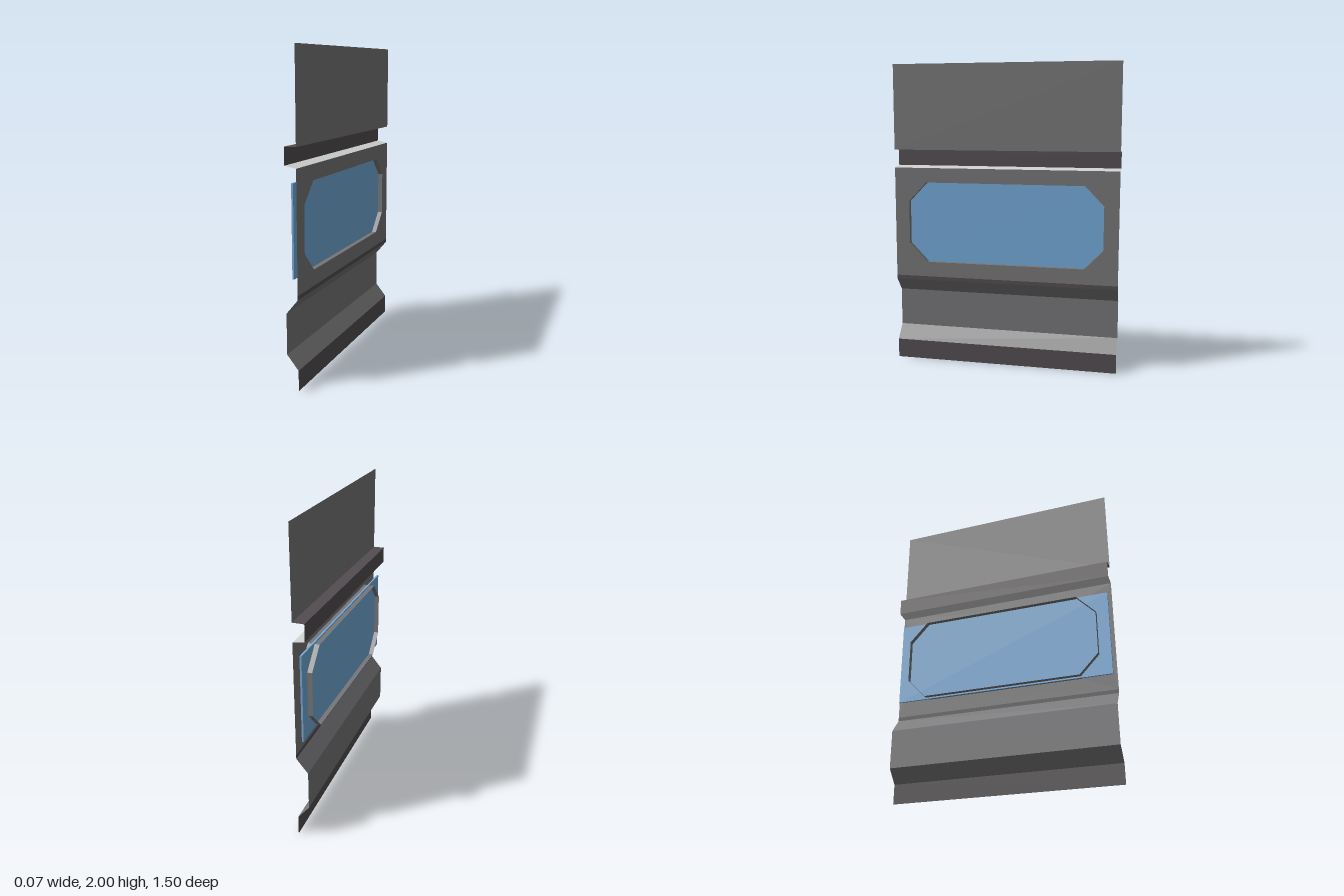
import * as THREE from 'three';

const D = 0.037; // half depth of the folds
const Z = 0.75;  // half length of the panel

function material(name, color) {
  const m = new THREE.MeshStandardMaterial({ color, side: THREE.DoubleSide });
  m.name = name;
  return m;
}

// flat four-cornered sheet, corners counter-clockwise
function quad(a, b, c, d) {
  const g = new THREE.BufferGeometry();
  g.setAttribute('position', new THREE.Float32BufferAttribute([...a, ...b, ...c, ...a, ...c, ...d], 3));
  g.computeVertexNormals();
  return g;
}

export function createModel() {
  const model = new THREE.Group();
  model.name = 'wallPanel';
  const grey = material('panel grey', 0x777779);
  const dark = material('trim dark', 0x534d51);
  const light = material('shelf light grey', 0xd0d2d0);
  const blue = material('glass blue', 0x75abda);

  const add = (name, geometry, mat, parent = model) => {
    const mesh = new THREE.Mesh(geometry, mat);
    mesh.name = name;
    parent.add(mesh);
  };

  // folded sheet, each strip running the full length: name, bottom (x, y), top (x, y), colour
  const strips = [
    ['bottomTrim', D, 0, D, 0.127, dark],
    ['lowerSlope', D, 0.127, -D, 0.217, grey],
    ['lowerPanel', -D, 0.217, -D, 0.468, grey],
    ['sillSlope', -D, 0.468, D, 0.558, grey],
    ['sillTrim', D, 0.558, D, 0.583, dark],
    ['grooveShelf', D, 1.32, -D, 1.333, light],
    ['grooveBack', -D, 1.333, -D, 1.44, dark],
    ['grooveTop', -D, 1.44, D, 1.44, dark],
    ['upperPanel', D, 1.44, D, 2, grey],
  ];
  for (const [name, x0, y0, x1, y1, mat] of strips) {
    add(name, quad([x0, y0, Z], [x0, y0, -Z], [x1, y1, -Z], [x1, y1, Z]), mat);
  }

  // eight-sided window outline as (z, y)
  const outline = [
    [-0.53, 0.683], [0.53, 0.683], [0.653, 0.81], [0.653, 1.096],
    [0.53, 1.223], [-0.53, 1.223], [-0.653, 1.096], [-0.653, 0.81],
  ];

  // window wall with the opening cut out
  const wall = new THREE.Shape([[-Z, 0.583], [Z, 0.583], [Z, 1.32], [-Z, 1.32]].map(p => new THREE.Vector2(...p)));
  wall.holes.push(new THREE.Path(outline.map(p => new THREE.Vector2(...p))));
  add('windowWall', new THREE.ShapeGeometry(wall).rotateY(Math.PI / 2).translate(D, 0, 0), grey);

  // window reveal around the opening
  const reveal = new THREE.Group();
  reveal.name = 'windowReveal';
  model.add(reveal);
  outline.forEach(([z0, y0], i) => {
    const [z1, y1] = outline[(i + 1) % outline.length];
    add('revealSide', quad([-D, y0, z0], [D, y0, z0], [D, y1, z1], [-D, y1, z1]), grey, reveal);
  });

  // glass pane in the middle of the reveal
  add('glass', new THREE.BoxGeometry(0.012, 0.56, 1.46).translate(0, 0.953, 0), blue);

  return model;
}
